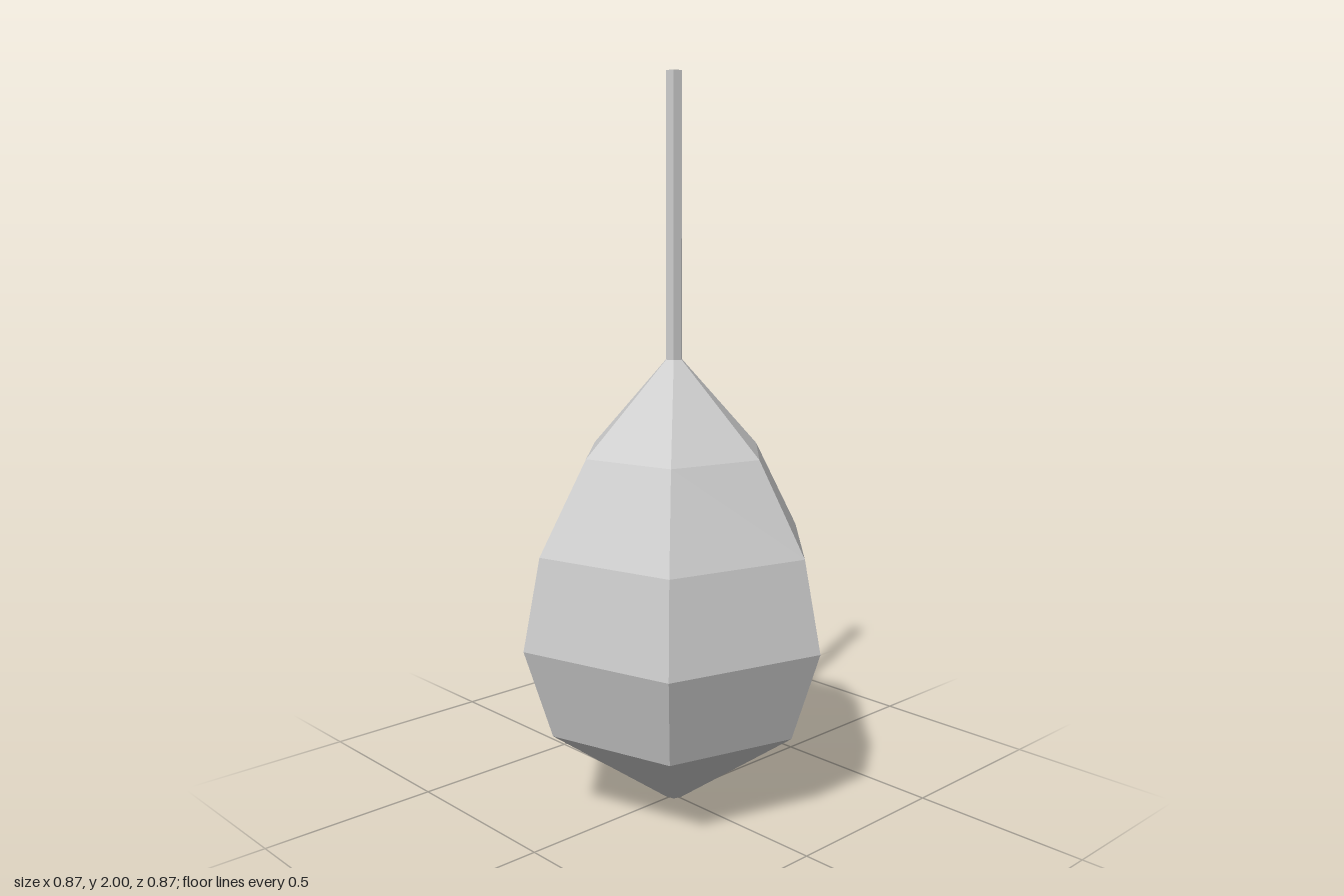
import * as THREE from 'three';

// Six-sided solid of revolution from [radius, height] pairs, listed bottom to top
function hexTurned(name, profile, material) {
  const points = profile.map(([r, y]) => new THREE.Vector2(r, y));
  // a 45 degree start puts one ridge on the front-left diagonal
  const geometry = new THREE.LatheGeometry(points, 6, Math.PI / 4);
  const mesh = new THREE.Mesh(geometry, material);
  mesh.name = name;
  return mesh;
}

export function createModel() {
  const group = new THREE.Group();
  group.name = 'hangingBulb';

  const grey = new THREE.MeshStandardMaterial({ color: 0xcccccc });
  grey.name = 'light grey';
  grey.flatShading = true;

  const stemRadius = 0.024;

  // Faceted egg-shaped body with a small flat tip underneath
  group.add(hexTurned('body', [
    [0, 0], [stemRadius, 0], [0.37, 0.25], [0.45, 0.5],
    [0.4, 0.75], [0.263, 1], [stemRadius, 1.25],
  ], grey));

  // Thin stem rising from the top of the body, capped
  group.add(hexTurned('stem', [[stemRadius, 1.25], [stemRadius, 2], [0, 2]], grey));

  return group;
}
